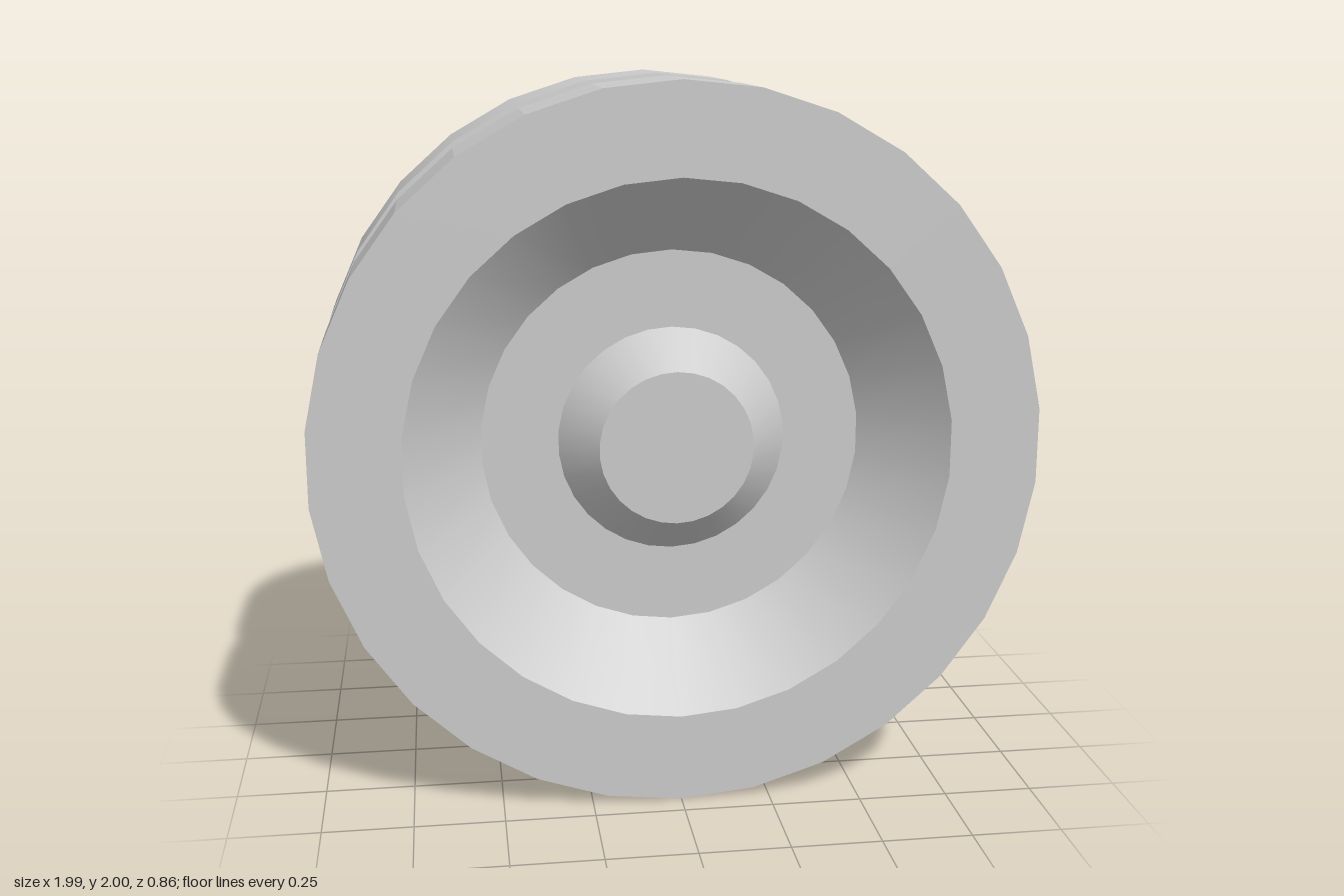
import * as THREE from 'three';

const SIDES = 30;

export function createModel() {
  const group = new THREE.Group();
  group.name = 'wheel';
  const smooth = new THREE.MeshStandardMaterial({ color: 0xcccccc });
  const faceted = new THREE.MeshStandardMaterial({ color: 0xcccccc, flatShading: true });

  // One ring of the wheel, turned about z; a separate ring per segment keeps the edges sharp
  function ring(name, [r0, z0], [r1, z1], material = smooth) {
    const points = [new THREE.Vector2(r0, z0), new THREE.Vector2(r1, z1)];
    const geometry = new THREE.LatheGeometry(points, SIDES).rotateX(Math.PI / 2);
    const mesh = new THREE.Mesh(geometry, material);
    mesh.name = name;
    mesh.position.y = 1;
    group.add(mesh);
  }

  // Half profile from the hub centre out to the groove: [radius, distance from mid-plane]
  const profile = [[0, 0.33], [0.215, 0.33], [0.32, 0.215], [0.535, 0.215],
    [0.75, 0.43], [1, 0.43], [1, 0.108], [0.75, 0.072]];
  const names = ['HubCap', 'HubCone', 'DishFloor', 'DishCone', 'RimFace', 'Tread', 'GrooveWall'];

  names.forEach((name, i) => {
    const [ra, za] = profile[i];
    const [rb, zb] = profile[i + 1];
    ring('back' + name, [ra, -za], [rb, -zb]);
    // The front tread is faceted, the back one smooth
    ring('front' + name, [rb, zb], [ra, za], name === 'Tread' ? faceted : smooth);
  });

  // Floor of the groove between the two treads
  ring('grooveFloor', [0.75, -0.072], [0.75, 0.072]);
  return group;
}
